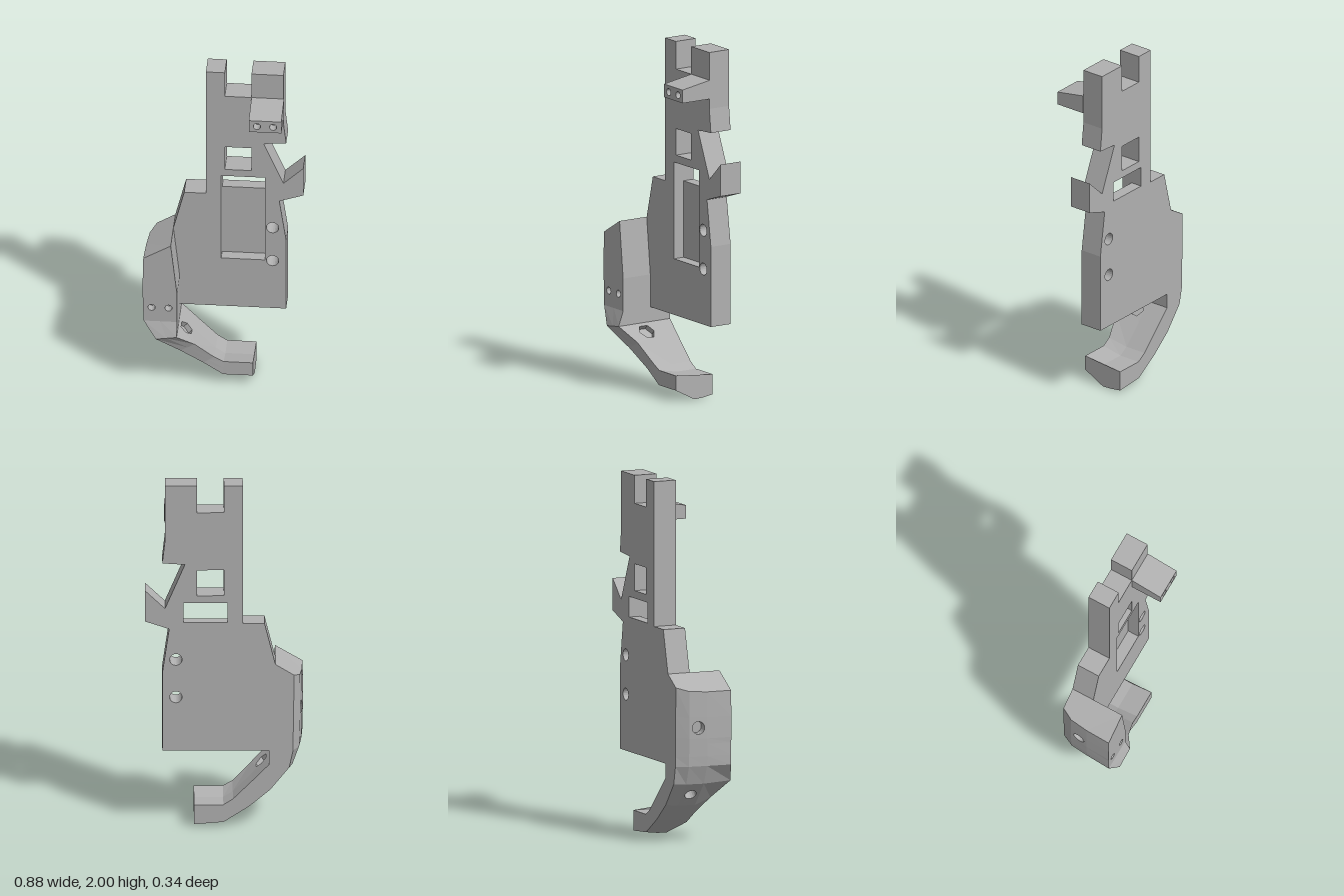
import * as THREE from 'three';

const V = (x, y, z) => new THREE.Vector3(x, y, z);

// Closed loft through rings of points; "holes" cuts blind holes into single cells ("row_column").
function loft(rings, holes = {}) {
  const pos = [];
  const tri = (...p) => p.forEach((q) => pos.push(q.x, q.y, q.z));
  const quad = (a, b, c, d) => { tri(a, b, c); tri(a, c, d); };

  function punched(a, b, c, d, { r, depth, sides = 16, at = [0.5, 0.5], turn = 0 }) {
    const place = (p) => a.clone().lerp(b, p.x).lerp(d.clone().lerp(c, p.x), 1 - p.y);
    const across = b.clone().sub(a), down = d.clone().sub(a);
    const lenU = (across.length() + c.distanceTo(d)) / 2;
    const lenV = (down.length() + c.distanceTo(b)) / 2;
    const inward = across.cross(down).normalize().multiplyScalar(depth);
    const rim = [];
    for (let i = 0; i < sides; i++) {
      const t = turn + (i / sides) * Math.PI * 2;
      rim.push(new THREE.Vector2(at[0] + (r / lenU) * Math.cos(t), 1 - at[1] + (r / lenV) * Math.sin(t)));
    }
    const square = [[0, 0], [1, 0], [1, 1], [0, 1]].map((p) => new THREE.Vector2(...p));
    const hole = [...rim].reverse();
    const all = [...square, ...hole].map(place);
    THREE.ShapeUtils.triangulateShape(square, [hole]).forEach((f) => tri(all[f[0]], all[f[1]], all[f[2]]));
    // hole wall and floor
    const top = rim.map(place), floor = top.map((p) => p.clone().add(inward));
    top.forEach((p, i) => {
      const j = (i + 1) % sides;
      quad(p, top[j], floor[j], floor[i]);
      if (i > 0 && i < sides - 1) tri(floor[0], floor[i], floor[j]);
    });
  }

  const n = rings[0].length;
  for (let i = 0; i < rings.length - 1; i++) {
    for (let j = 0; j < n; j++) {
      const k = (j + 1) % n;
      const a = rings[i][j], b = rings[i][k], c = rings[i + 1][k], d = rings[i + 1][j];
      const hole = holes[`${i}_${j}`];
      if (hole) punched(a, b, c, d, hole);
      else quad(a, d, c, b);
    }
  }
  const first = rings[0], last = rings[rings.length - 1];
  for (let j = 1; j < n - 1; j++) {
    tri(first[0], first[j], first[j + 1]);
    tri(last[0], last[j + 1], last[j]);
  }
  const g = new THREE.BufferGeometry();
  g.setAttribute('position', new THREE.Float32BufferAttribute(pos, 3));
  g.computeVertexNormals();
  return g;
}

// Flat plate layer between two depths, with rectangular windows and round pin holes
function plateLayer(outline, windows, zBack, zFront) {
  const shape = new THREE.Shape(outline.map((p) => new THREE.Vector2(...p)));
  windows.forEach(([x0, y0, x1, y1]) => shape.holes.push(new THREE.Path(
    [[x0, y0], [x0, y1], [x1, y1], [x1, y0]].map((p) => new THREE.Vector2(...p)))));
  [0.76, 0.98].forEach((y) => shape.holes.push(new THREE.Path().absarc(0.265, y, 0.034, 0, Math.PI * 2, true)));
  const g = new THREE.ExtrudeGeometry(shape, { depth: zFront - zBack, bevelEnabled: false, curveSegments: 10 });
  return g.translate(0, 0, zBack);
}

export function createModel() {
  const model = new THREE.Group();
  model.name = 'bracket';
  const grey = new THREE.MeshStandardMaterial({ color: 0xb0b0b0 });
  grey.name = 'plain grey';
  const add = (name, geometry) => {
    const mesh = new THREE.Mesh(geometry, grey);
    mesh.name = name;
    model.add(mesh);
  };

  const back = -0.172, mid = -0.105, front = -0.04;

  // Main plate: the front layer has the long recess, the back layer only its open top
  const outline = [
    [-0.105, 2], [-0.105, 1.19], [-0.225, 1.19], [-0.285, 0.95], [-0.262, 0.74], [-0.25, 0.63],
    [-0.25, 0.445], [0.34, 0.445], [0.34, 0.9], [0.302, 1.16], [0.435, 1.205], [0.435, 1.385],
    [0.325, 1.28], [0.215, 1.538], [0.34, 1.546], [0.325, 1.68], [0.325, 2], [0.148, 2],
    [0.148, 1.843], [0, 1.843], [0, 2],
  ];
  const square = [0, 1.355, 0.148, 1.505];
  add('plateFront', plateLayer(outline, [square, [-0.02, 0.763, 0.222, 1.312]], mid, front));
  add('plateBack', plateLayer(outline, [square, [-0.02, 1.197, 0.222, 1.312]], back, mid));

  // Sloped block near the top with two pin holes
  const blockRing = (yFront, yBack) => [
    V(0.328, yFront, 0.142), V(0.328, yBack, front), V(0.148, yBack, front),
    V(0.148, yFront, 0.142), V(0.238, yFront, 0.142),
  ];
  const pin = { r: 0.02, depth: 0.05 };
  add('sightBlock', loft([blockRing(1.812, 1.843), blockRing(1.737, 1.737)], { '0_3': pin, '0_4': pin }));

  // Grip running down into the curved lever and foot.
  // inner x,y | front edge x,y | front z | outer x,y | outer z | drop of inner back | back rounding
  const stations = [
    [-0.285, 0.95, -0.437, 0.86, 0.142, -0.432, 0.86, 0, 0, 0.3],
    [-0.262, 0.74, -0.44, 0.72, 0.142, -0.434, 0.72, 0, 0, 0.28],
    [-0.25, 0.63, -0.44, 0.6, 0.142, -0.434, 0.6, 0, 0, 0.27],
    [-0.25, 0.57, -0.438, 0.57, 0.142, -0.433, 0.57, 0, 0, 0.27],
    [-0.25, 0.5, -0.437, 0.5, 0.142, -0.431, 0.5, 0, 0, 0.27],
    [-0.25, 0.445, -0.435, 0.445, 0.142, -0.427, 0.445, 0, 0, 0.25],
    [-0.25, 0.362, -0.365, 0.345, 0.172, -0.385, 0.34, 0, 0, 0.18],
    [-0.155, 0.28, -0.235, 0.235, 0.11, -0.27, 0.205, 0, 0.015, 0.12],
    [-0.05, 0.18, -0.11, 0.14, 0.078, -0.15, 0.11, -0.03, 0.02, 0.1],
    [0.003, 0.15, 0, 0.066, 0.075, 0, 0.015, -0.05, 0.024, 0.08],
    [0.165, 0.15, 0.165, 0.066, 0.075, 0.165, 0, -0.05, 0.024, 0.08],
  ];
  const rings = stations.map(([ix, iy, fx, fy, fz, ox, oy, oz, drop, round]) => {
    const inner = V(ix, iy, fz), edge = V(fx, fy, fz), outer = V(ox, oy, oz);
    const toward = (t, z) => V(ox + (ix - ox) * t, oy + (iy - oy) * t, z);
    return [
      inner, V(ix, iy - drop, -0.045), V(ix, iy - drop, back),
      toward(round, back), toward(round * 0.25, -0.105), outer,
      edge, edge.clone().lerp(inner, 0.5),
    ];
  });
  add('gripAndLever', loft(rings, {
    '1_4': { r: 0.036, depth: 0.06 },
    '3_6': pin,
    '3_7': pin,
    '6_0': { r: 0.047, depth: 0.03, sides: 6, at: [0.7, 0.45] },
    '6_4': { r: 0.033, depth: 0.05 },
  }));

  return model;
}
